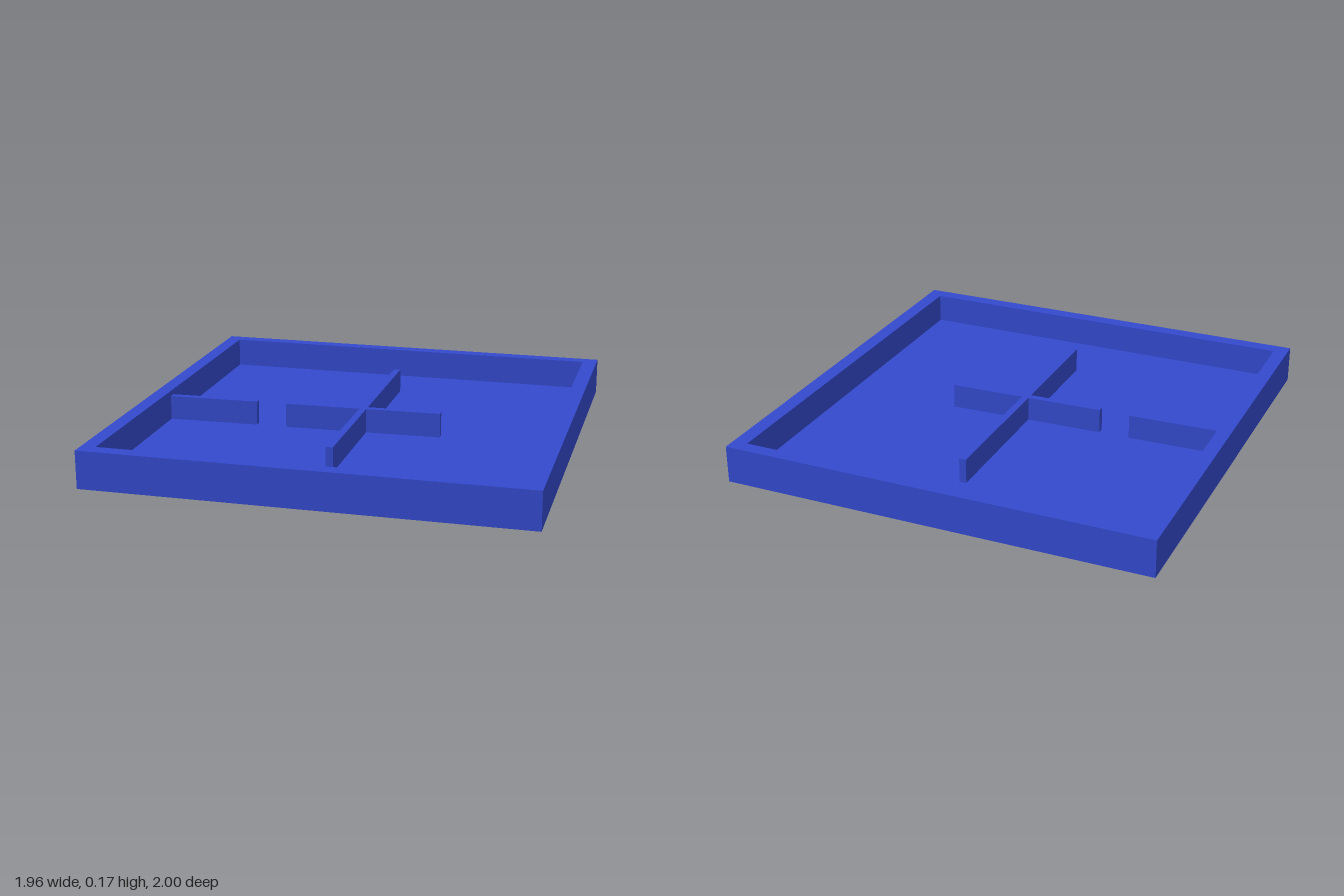
import * as THREE from 'three';

const HEIGHT = 0.17, FLOOR = 0.033, RIB_TOP = 0.145;

// Shape from [x, z] points on the ground plan.
const plan = (points, Type = THREE.Shape) =>
  new Type(points.map(([x, z]) => new THREE.Vector2(x, -z)));

const rect = (x0, z0, x1, z1) => [[x0, z1], [x1, z1], [x1, z0], [x0, z0]];

export function createModel() {
  const group = new THREE.Group();
  const blue = new THREE.MeshStandardMaterial({ color: 0x3349cc });
  blue.name = 'blue';

  // Raises a ground plan from y0 to y1.
  const raise = (name, shape, y0, y1) => {
    const geometry = new THREE.ExtrudeGeometry(shape, { depth: y1 - y0, bevelEnabled: false });
    geometry.rotateX(-Math.PI / 2).translate(0, y0, 0);
    const mesh = new THREE.Mesh(geometry, blue);
    mesh.name = name;
    group.add(mesh);
  };

  // Tray floor and the rim around it
  const outer = rect(-0.98, -1, 0.98, 1);
  raise('floor', plan(outer), 0, FLOOR);
  const rim = plan(outer);
  rim.holes.push(plan(rect(-0.915, -0.938, 0.912, 0.933), THREE.Path));
  raise('rim', rim, FLOOR, HEIGHT);

  // Cross-shaped divider with slightly skewed side arms
  raise('crossDivider', plan([
    [-0.35, 0.056], [0, 0.046], [0, 0.62], [0.032, 0.62], [0.032, 0.045], [0.377, 0.035],
    [0.376, 0.003], [0.032, 0.013], [0.032, -0.655], [0, -0.655], [0, 0.014], [-0.351, 0.024],
  ]), FLOOR, RIB_TOP);

  // Short divider joined to the left-hand wall of the plan
  raise('wallDivider', plan([
    [-0.917, 0.069], [-0.492, 0.057], [-0.493, 0.025], [-0.917, 0.037],
  ]), FLOOR, RIB_TOP);

  return group;
}
